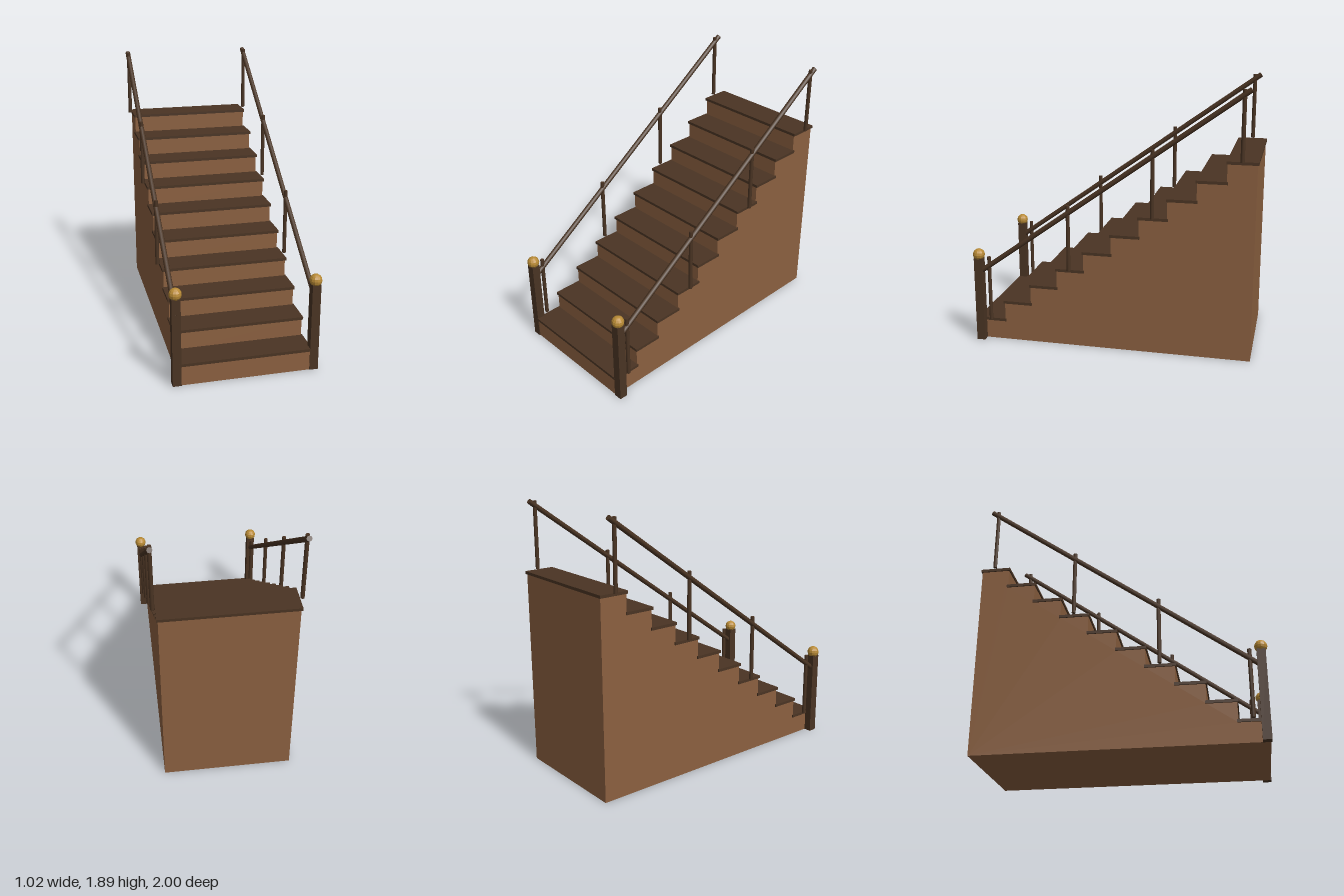
import * as THREE from 'three';

const STEPS = 10, RISE = 0.138, RUN = 0.197, FRONT = 0.98;
const SIDE_X = 0.468; // centre line of each balustrade

export function createModel() {
  const group = new THREE.Group();
  const material = (name, color) => {
    const m = new THREE.MeshStandardMaterial({ color });
    m.name = name;
    return m;
  };
  const wood = material('wood', 0x8b6040);
  const darkWood = material('darkWood', 0x4a3423);
  const brass = material('brass', 0xb88a35);
  brass.flatShading = true;

  const add = (name, geometry, mat, x, y, z) => {
    const mesh = new THREE.Mesh(geometry, mat);
    mesh.name = name;
    mesh.position.set(x, y, z);
    group.add(mesh);
    return mesh;
  };

  // Solid stepped body: side profile (x = depth, y = height) extruded across the width
  const back = FRONT - STEPS * RUN;
  const profile = new THREE.Shape();
  profile.moveTo(-back, 0);
  profile.lineTo(-FRONT, 0);
  for (let i = 0; i < STEPS; i++) {
    profile.lineTo(-FRONT + i * RUN, (i + 1) * RISE);
    profile.lineTo(-FRONT + (i + 1) * RUN, (i + 1) * RISE);
  }
  profile.closePath();
  const bodyGeometry = new THREE.ExtrudeGeometry(profile, { depth: 0.886, bevelEnabled: false });
  bodyGeometry.translate(0, 0, -0.443).rotateY(Math.PI / 2);
  add('stairBody', bodyGeometry, wood, 0, 0, 0);

  // Overhanging treads
  const treadGeometry = new THREE.BoxGeometry(0.904, 0.02, 0.212);
  const treadZ = (i) => FRONT - (i + 0.5) * RUN;
  for (let i = 0; i < STEPS; i++) {
    add('tread', treadGeometry, darkWood, 0, (i + 1) * RISE + 0.01, treadZ(i));
  }

  // Balustrades, mirrored left and right
  const newelGeometry = new THREE.BoxGeometry(0.059, 0.62, 0.059);
  const ballGeometry = new THREE.SphereGeometry(0.043, 12, 8);
  const postGeometry = new THREE.CylinderGeometry(0.014, 0.014, 0.473, 8);
  const railStart = new THREE.Vector3(0, 0.497, 0.977);
  const railEnd = new THREE.Vector3(0, 1.872, -0.936);
  const railVector = railEnd.clone().sub(railStart);
  const railGeometry = new THREE.CylinderGeometry(0.018, 0.018, railVector.length(), 8);
  const railCentre = railStart.clone().lerp(railEnd, 0.5);

  for (const side of [-1, 1]) {
    const x = side * SIDE_X;
    add('newelPost', newelGeometry, darkWood, x, 0.31, 0.957);
    add('newelBall', ballGeometry, brass, x, 0.645, 0.957);
    for (let i = 0; i < STEPS; i += 3) {
      add('baluster', postGeometry, darkWood, x, (i + 1) * RISE + 0.02 + 0.2365, treadZ(i));
    }
    const rail = add('handrail', railGeometry, darkWood, x, railCentre.y, railCentre.z);
    rail.quaternion.setFromUnitVectors(new THREE.Vector3(0, 1, 0), railVector.clone().normalize());
  }
  return group;
}
